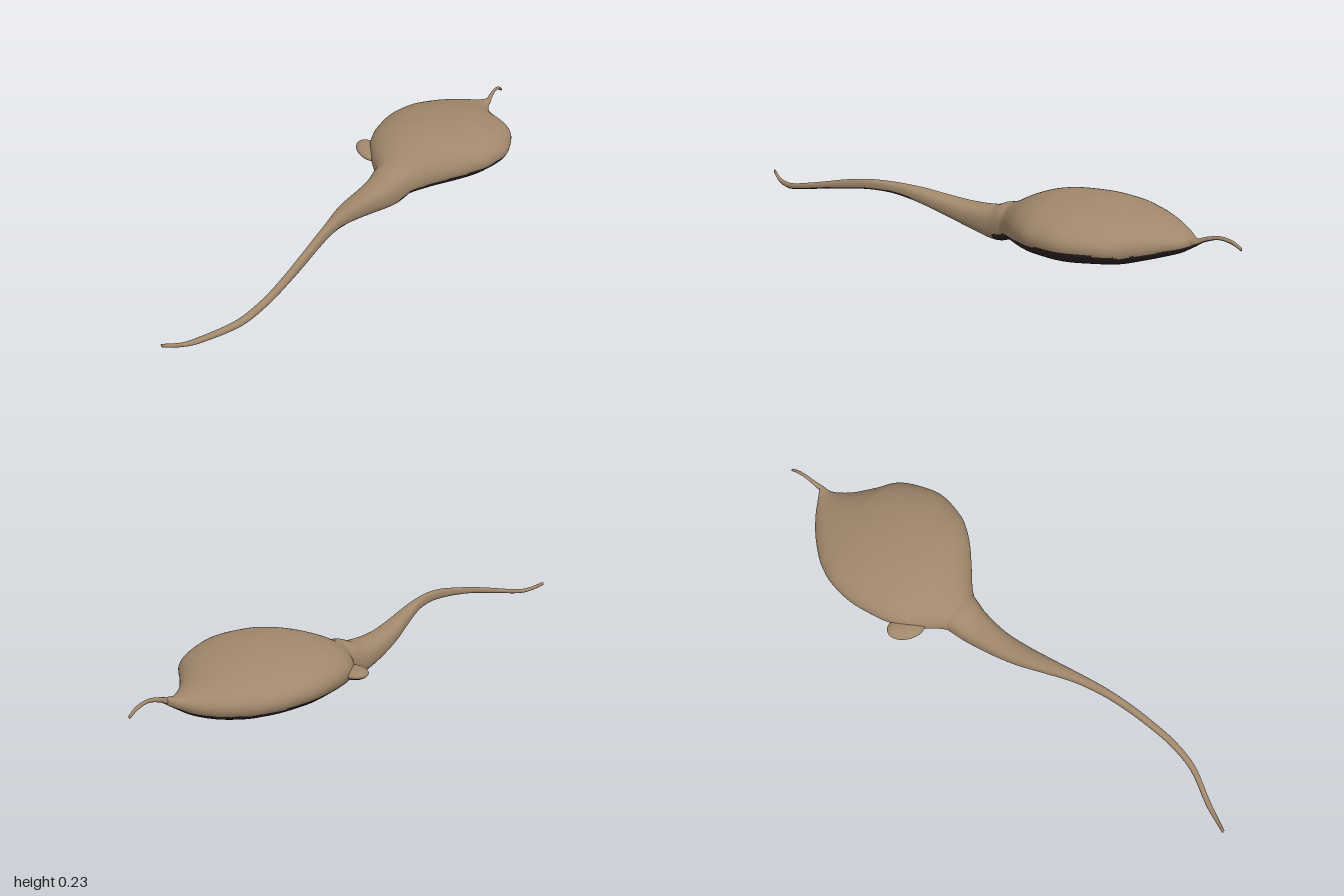
import * as THREE from 'three';

const tan = new THREE.MeshStandardMaterial({ color: 0xa1886c });
tan.name = 'tan brown';
const dark = new THREE.MeshStandardMaterial({ color: 0x2c2221 });
dark.name = 'dark underside brown';

// Mesh whose downward-facing triangles get the dark colour, behind or beyond a z limit
function paintedMesh(name, geo, inZone) {
  const p = geo.attributes.position, index = geo.index.array;
  const a = new THREE.Vector3(), b = new THREE.Vector3(), c = new THREE.Vector3();
  const n = new THREE.Vector3(), top = [], under = [];
  for (let i = 0; i < index.length; i += 3) {
    const tri = [index[i], index[i + 1], index[i + 2]];
    a.fromBufferAttribute(p, tri[0]);
    b.fromBufferAttribute(p, tri[1]);
    c.fromBufferAttribute(p, tri[2]);
    THREE.Triangle.getNormal(a, b, c, n);
    const low = n.y - 0.15 * n.x < -0.5 && inZone((a.z + b.z + c.z) / 3);
    (low ? under : top).push(...tri);
  }
  geo.setIndex([...top, ...under]);
  geo.clearGroups();
  geo.addGroup(0, top.length, 0);
  geo.addGroup(top.length, under.length, 1);
  const mesh = new THREE.Mesh(geo, [tan, dark]);
  mesh.name = name;
  return mesh;
}

// Catmull-Rom blend of four section rows
function blend(a, b, c, d, t) {
  return b.map((p1, k) => {
    const p0 = a[k], p2 = c[k], p3 = d[k];
    return 0.5 * (2 * p1 + (p2 - p0) * t + (2 * p0 - 5 * p1 + 4 * p2 - p3) * t * t
      + (3 * p1 - p0 - 3 * p2 + p3) * t * t * t);
  });
}

// Smooth closed skin through oval sections [z, xMin, xMax, yMin, yMax], front to back
function loft(rows, sides, power, steps) {
  const rings = [];
  for (let i = 0; i < rows.length - 1; i++) {
    const a = rows[Math.max(i - 1, 0)], d = rows[Math.min(i + 2, rows.length - 1)];
    for (let s = 0; s < steps; s++) rings.push(blend(a, rows[i], rows[i + 1], d, s / steps));
  }
  rings.push(rows[rows.length - 1]);
  const pos = [], index = [];
  const round = v => Math.sign(v) * Math.abs(v) ** power;
  for (const [z, x0, x1, y0, y1] of rings) {
    for (let j = 0; j < sides; j++) {
      const a = (j / sides) * Math.PI * 2;
      pos.push((x0 + x1) / 2 + round(Math.cos(a)) * (x1 - x0) / 2,
        (y0 + y1) / 2 + round(Math.sin(a)) * (y1 - y0) / 2, z);
    }
  }
  for (let i = 0; i < rings.length - 1; i++) {
    for (let j = 0; j < sides; j++) {
      const k = (j + 1) % sides, p = i * sides, q = p + sides;
      index.push(p + j, q + j, q + k, p + j, q + k, p + k);
    }
  }
  // end caps
  for (const [r, flip] of [[0, false], [rings.length - 1, true]]) {
    const [z, x0, x1, y0, y1] = rings[r], c = pos.length / 3;
    pos.push((x0 + x1) / 2, (y0 + y1) / 2, z);
    for (let j = 0; j < sides; j++) {
      const p = r * sides + j, q = r * sides + (j + 1) % sides;
      index.push(c, flip ? q : p, flip ? p : q);
    }
  }
  const geo = new THREE.BufferGeometry();
  geo.setAttribute('position', new THREE.Float32BufferAttribute(pos, 3));
  geo.setIndex(index);
  geo.computeVertexNormals();
  return geo;
}

export function createModel() {
  const group = new THREE.Group();
  group.name = 'taperedPod';

  // long winding tail, thickening into the neck; the neck stays tan below
  group.add(paintedMesh('tail', loft([
    [1.0, -0.126, -0.115, 0.052, 0.064],
    [0.95, -0.099, -0.082, 0.034, 0.047],
    [0.9, -0.073, -0.051, 0.03, 0.046],
    [0.8, -0.014, 0.009, 0.044, 0.065],
    [0.7, 0.01, 0.033, 0.065, 0.089],
    [0.6, 0.014, 0.038, 0.084, 0.112],
    [0.5, 0.011, 0.036, 0.1, 0.135],
    [0.4, 0.0, 0.028, 0.111, 0.149],
    [0.3, -0.02, 0.016, 0.108, 0.15],
    [0.2, -0.05, 0.006, 0.086, 0.141],
    [0.1, -0.078, 0.0, 0.055, 0.125],
    [0.0, -0.095, 0.0, 0.025, 0.115],
    [-0.1, -0.107, 0.016, 0.003, 0.119],
    [-0.15, -0.112, 0.03, 0.004, 0.137],
    [-0.19, -0.115, 0.04, 0.018, 0.142],
    [-0.24, -0.1, 0.04, 0.04, 0.14],
  ], 32, 0.82, 5), z => z > 0.22 || z < -0.13));

  // broad flattened body
  group.add(paintedMesh('body', loft([
    [-0.13, -0.09, 0.01, 0.02, 0.115],
    [-0.17, -0.113, 0.036, 0.012, 0.139],
    [-0.2, -0.132, 0.062, 0.019, 0.152],
    [-0.25, -0.178, 0.122, 0.028, 0.18],
    [-0.3, -0.213, 0.178, 0.033, 0.202],
    [-0.35, -0.233, 0.22, 0.035, 0.216],
    [-0.4, -0.245, 0.246, 0.036, 0.223],
    [-0.5, -0.256, 0.266, 0.038, 0.226],
    [-0.6, -0.242, 0.24, 0.046, 0.217],
    [-0.66, -0.217, 0.207, 0.052, 0.205],
    [-0.7, -0.192, 0.155, 0.058, 0.195],
    [-0.76, -0.14, 0.085, 0.074, 0.178],
    [-0.81, -0.082, 0.046, 0.095, 0.163],
    [-0.84, -0.035, 0.031, 0.116, 0.156],
    [-0.865, 0.008, 0.026, 0.135, 0.157],
  ], 96, 0.96, 6), z => z < -0.13));

  // thin curled stem at the back
  group.add(paintedMesh('stem', loft([
    [-0.82, 0.0, 0.03, 0.12, 0.15],
    [-0.86, 0.007, 0.029, 0.134, 0.157],
    [-0.89, 0.008, 0.023, 0.152, 0.168],
    [-0.93, 0.008, 0.02, 0.165, 0.177],
    [-0.97, 0.007, 0.018, 0.158, 0.171],
    [-1.0, 0.007, 0.016, 0.141, 0.152],
  ], 16, 1, 4), z => z < -0.82));

  // small flat lobe on one shoulder
  const lobe = new THREE.SphereGeometry(1, 32, 24);
  lobe.scale(0.07, 0.019, 0.046).rotateZ(-0.16).rotateY(-0.58).translate(-0.206, 0.11, -0.286);
  group.add(paintedMesh('sideLobe', lobe, z => z < -0.2));

  return group;
}
